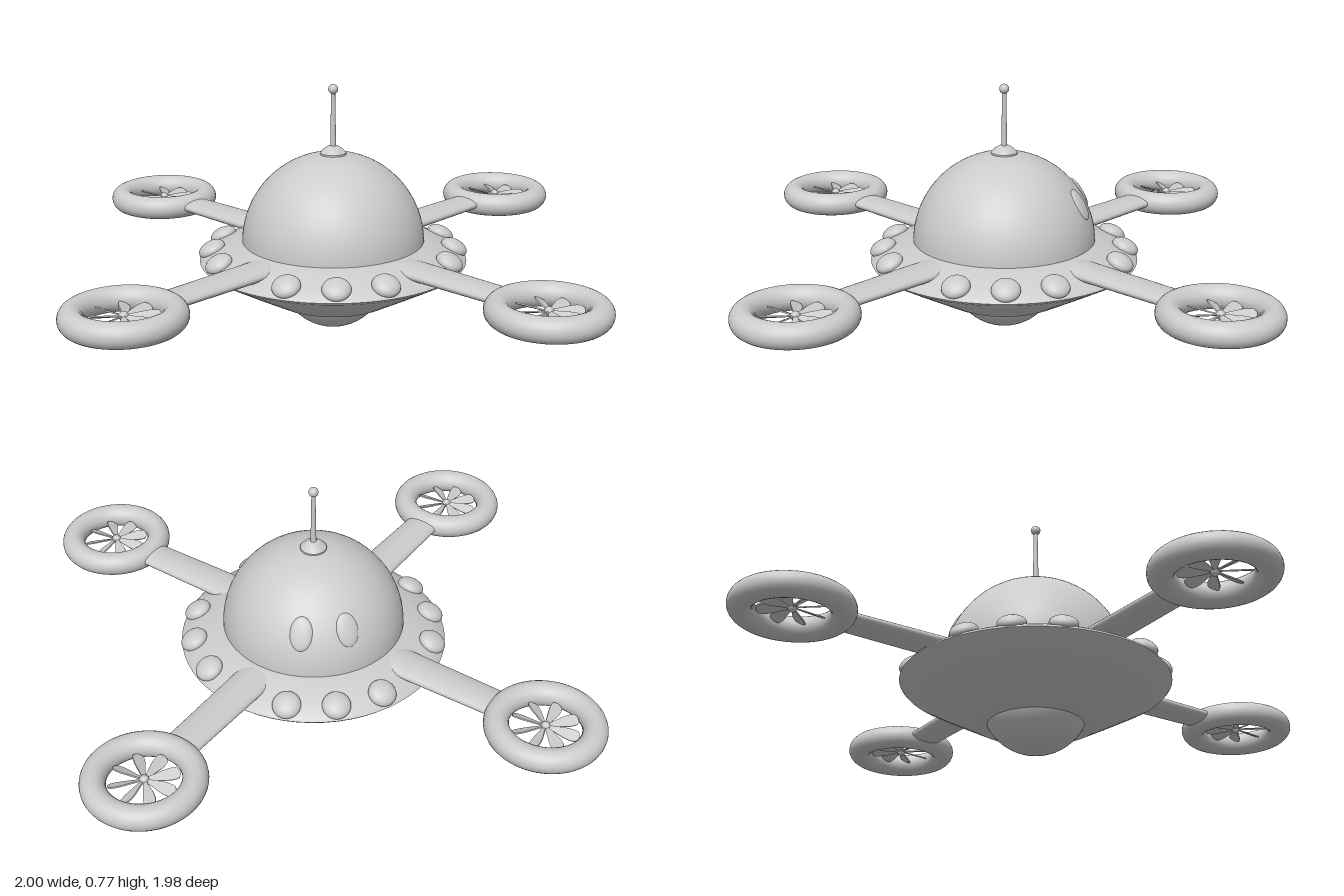
import * as THREE from 'three';
import { toCreasedNormals } from 'three/addons/utils/BufferGeometryUtils.js';

const grey = new THREE.MeshStandardMaterial({ color: 0xcccccc });

function add(parent, name, geometry, x = 0, y = 0, z = 0) {
  const mesh = new THREE.Mesh(geometry, grey);
  mesh.name = name;
  mesh.position.set(x, y, z);
  parent.add(mesh);
  return mesh;
}

function lathe(points, segments = 64) {
  const profile = points.map(([r, y]) => new THREE.Vector2(r, y));
  return toCreasedNormals(new THREE.LatheGeometry(profile, segments), 0.5);
}

// Leaf-shaped fan blade lying flat, pointing along +x from the hub
function bladeGeometry() {
  const leaf = new THREE.Shape();
  leaf.moveTo(0.008, -0.005);
  leaf.bezierCurveTo(0.05, -0.012, 0.07, -0.022, 0.095, -0.016);
  leaf.quadraticCurveTo(0.11, 0, 0.095, 0.016);
  leaf.bezierCurveTo(0.07, 0.022, 0.05, 0.012, 0.008, 0.005);
  const geometry = new THREE.ExtrudeGeometry(leaf, { depth: 0.004, bevelEnabled: false, curveSegments: 8 });
  geometry.translate(0, 0, -0.002);
  return geometry.rotateX(-Math.PI / 2 + 0.45);
}

// Ducted fan: ring, hub and eight pitched blades
function createRotor(blade) {
  const rotor = new THREE.Group();
  rotor.name = 'rotor';
  const ring = new THREE.TorusGeometry(0.142, 0.037, 24, 56).rotateX(Math.PI / 2);
  add(rotor, 'rotorRing', ring);
  add(rotor, 'rotorHub', new THREE.SphereGeometry(0.014, 16, 12));
  for (let i = 0; i < 8; i++) {
    add(rotor, 'rotorBlade', blade).rotation.y = i * Math.PI / 4 + 0.1;
  }
  return rotor;
}

export function createModel() {
  const model = new THREE.Group();
  model.name = 'saucerDrone';

  // Saucer hull
  add(model, 'hull', lathe([
    [0, 0.087], [0.17, 0.087], [0.19, 0.093], [0.3, 0.153], [0.405, 0.212],
    [0.412, 0.22], [0.405, 0.229], [0.37, 0.248], [0.33, 0.265], [0.27, 0.284], [0, 0.284],
  ]));

  // Upper and lower domes
  add(model, 'upperDome', new THREE.SphereGeometry(0.281, 64, 24, 0, Math.PI * 2, 0, Math.PI / 2), 0, 0.272, 0);
  add(model, 'lowerDome', new THREE.SphereGeometry(0.165, 48, 32), 0, 0.165, 0);

  // Antenna
  add(model, 'antennaBase', lathe([[0.04, 0.535], [0.04, 0.555], [0.03, 0.566], [0.014, 0.576], [0, 0.577]], 32));
  add(model, 'antennaRod', new THREE.CylinderGeometry(0.006, 0.009, 0.19, 16), 0, 0.66, 0);
  add(model, 'antennaTip', new THREE.SphereGeometry(0.015, 20, 14), 0, 0.751, 0);

  // Two oval windows on the dome
  for (const degrees of [26, 59]) {
    const pivot = new THREE.Group();
    pivot.name = 'windowMount';
    pivot.position.y = 0.272;
    pivot.rotation.set(0, THREE.MathUtils.degToRad(degrees), THREE.MathUtils.degToRad(30), 'YZX');
    add(pivot, 'window', new THREE.SphereGeometry(1, 32, 20), 0.277, 0, 0).scale.set(0.012, 0.052, 0.034);
    model.add(pivot);
  }

  // Rim lights, three between each pair of arms
  const light = new THREE.SphereGeometry(1, 28, 18);
  for (let i = 0; i < 16; i++) {
    if (i % 4 === 0) continue;
    const pivot = new THREE.Group();
    pivot.name = 'rimLightMount';
    pivot.rotation.y = i * Math.PI / 8;
    const mesh = add(pivot, 'rimLight', light, 0.375, 0.249, 0);
    mesh.scale.set(0.043, 0.025, 0.043);
    mesh.rotation.z = -0.45;
    model.add(pivot);
  }

  // Four flattened arms carrying the rotors
  const arm = new THREE.CylinderGeometry(0.054, 0.06, 0.38, 32).rotateZ(-Math.PI / 2).scale(1, 0.38, 1);
  const blade = bladeGeometry();
  for (let i = 0; i < 4; i++) {
    const reach = i % 2 ? 0.81 : 0.82;
    const boom = new THREE.Group();
    boom.name = 'boom';
    boom.rotation.y = i * Math.PI / 2;
    add(boom, 'arm', arm, reach - 0.345, 0.255, 0);
    add(boom, 'armRoot', new THREE.SphereGeometry(1, 24, 16), reach - 0.53, 0.255, 0).scale.set(0.05, 0.0228, 0.06);
    const rotor = createRotor(blade);
    rotor.position.set(reach, 0.253, 0);
    boom.add(rotor);
    model.add(boom);
  }
  return model;
}
